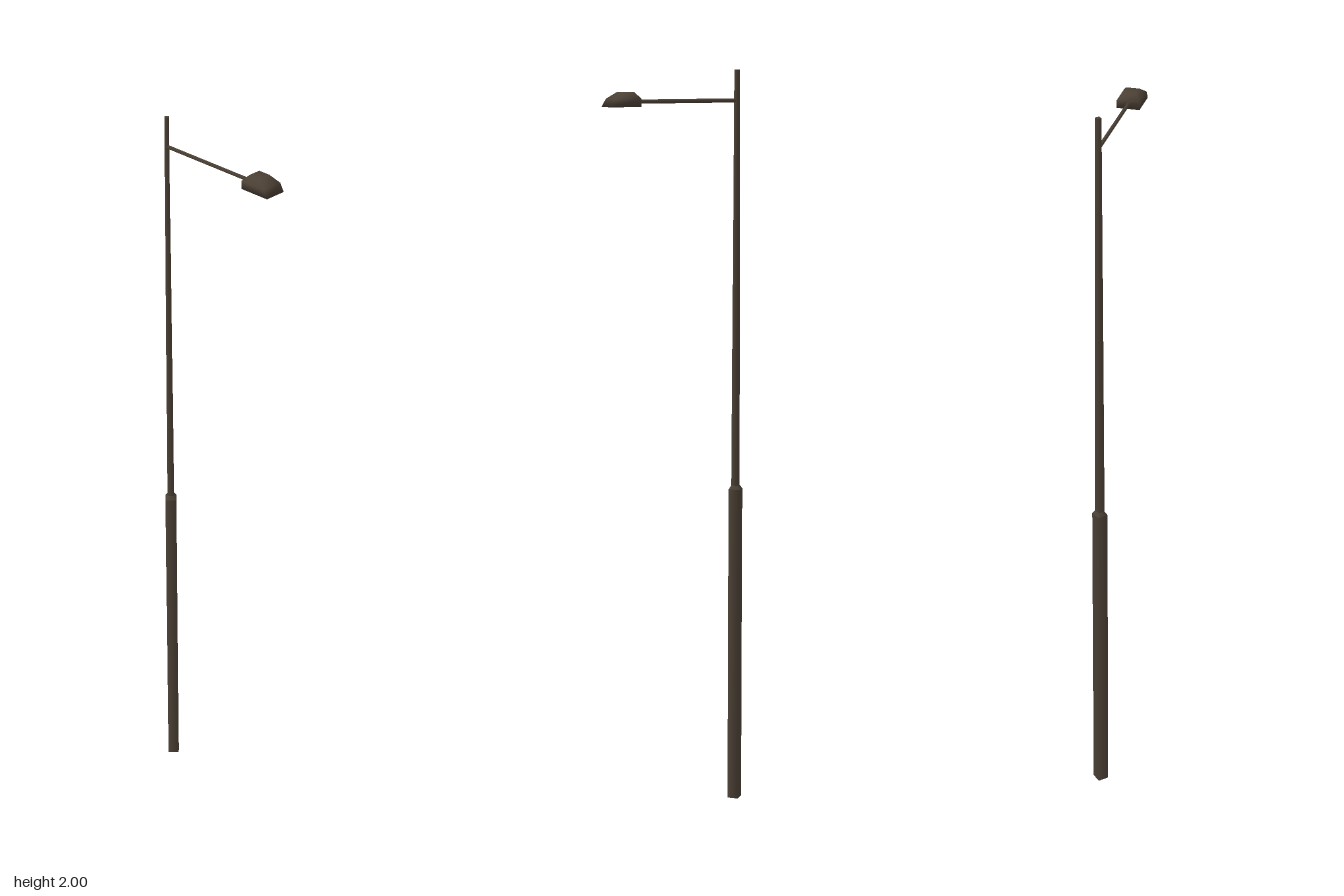
import * as THREE from 'three';

export function createModel() {
  const model = new THREE.Group();
  model.name = 'streetLamp';
  const metal = new THREE.MeshStandardMaterial({ color: 0x4c4135 });
  metal.name = 'darkBrownMetal';
  const poleZ = -0.179;

  function add(name, geometry) {
    const mesh = new THREE.Mesh(geometry, metal);
    mesh.name = name;
    model.add(mesh);
    return mesh;
  }

  // Four-sided tapered pole section standing between two heights
  function poleSection(name, rTop, rBottom, y0, y1) {
    const mesh = add(name, new THREE.CylinderGeometry(rTop, rBottom, y1 - y0, 4));
    mesh.position.set(0, (y0 + y1) / 2, poleZ);
  }
  poleSection('lowerPole', 0.021, 0.021, 0, 0.87);
  poleSection('poleCollar', 0.013, 0.021, 0.87, 0.88);
  poleSection('upperPole', 0.008, 0.013, 0.88, 2);

  // Horizontal arm from the pole to the lamp head
  const armEnd = 0.125;
  const arm = add('arm', new THREE.CylinderGeometry(0.0055, 0.0055, armEnd - poleZ, 4));
  arm.rotation.x = Math.PI / 2;
  arm.position.set(0, 1.919, (armEnd + poleZ) / 2);

  // Lamp head: rectangular rings [y, half width, back z, front z], softly shaded
  const rings = [
    [1.906, 0.03, 0.113, 0.2],
    [1.927, 0.03, 0.113, 0.188],
    [1.944, 0.018, 0.128, 0.162],
  ];
  const positions = [];
  const index = [];
  for (const [y, w, back, front] of rings) {
    positions.push(-w, y, front, w, y, front, w, y, back, -w, y, back);
  }
  for (let r = 0; r < rings.length - 1; r++) {
    for (let i = 0; i < 4; i++) {
      const a = r * 4 + i;
      const b = r * 4 + (i + 1) % 4;
      index.push(a, b, b + 4, a, b + 4, a + 4);
    }
  }
  const t = (rings.length - 1) * 4;
  index.push(0, 2, 1, 0, 3, 2); // underside
  index.push(t, t + 1, t + 2, t, t + 2, t + 3); // top
  const head = new THREE.BufferGeometry();
  head.setAttribute('position', new THREE.Float32BufferAttribute(positions, 3));
  head.setIndex(index);
  head.computeVertexNormals();
  add('lampHead', head);

  return model;
}
